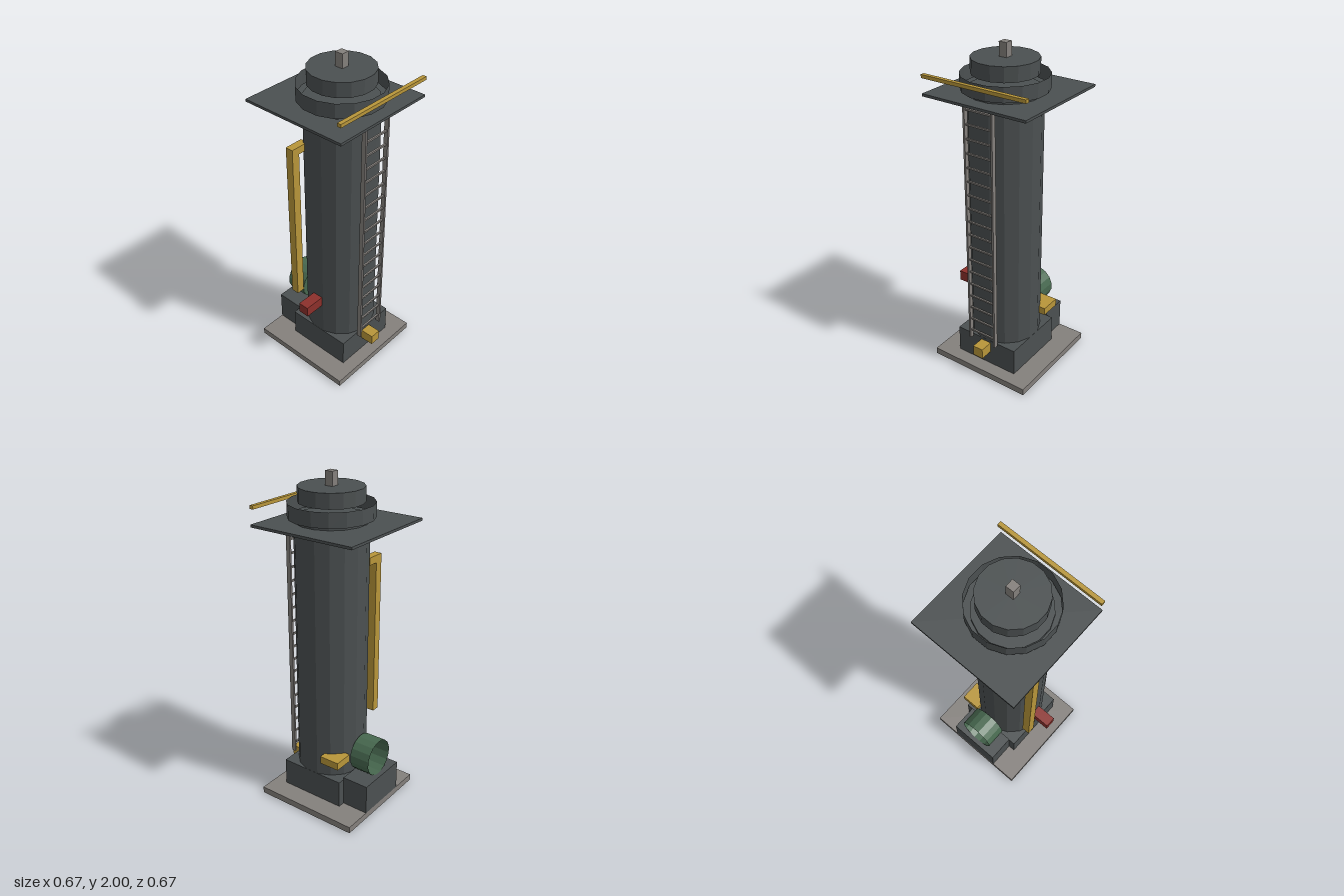
import * as THREE from 'three';

const mat = (name, color, side = THREE.FrontSide) => {
  const m = new THREE.MeshStandardMaterial({ color, side });
  m.name = name;
  return m;
};

export function createModel() {
  const group = new THREE.Group();
  const steel = mat('dark steel', 0x4b5051, THREE.DoubleSide);
  const grey = mat('warm grey', 0x84807c);
  const yellow = mat('safety yellow', 0xb8963a);
  const red = mat('valve red', 0x8c302b);
  const green = mat('motor green', 0x47684f, THREE.DoubleSide);
  const axisZ = 0.042; // the tower stands slightly forward of the centre

  const add = (name, geo, material, x, y, z) => {
    const mesh = new THREE.Mesh(geo, material);
    mesh.name = name;
    mesh.position.set(x, y, z);
    group.add(mesh);
    return mesh;
  };
  // box given by its lower and upper corners
  const box = (name, material, [x0, y0, z0], [x1, y1, z1]) =>
    add(name, new THREE.BoxGeometry(x1 - x0, y1 - y0, z1 - z0), material,
      (x0 + x1) / 2, (y0 + y1) / 2, (z0 + z1) / 2);
  // sixteen-sided drum with flats facing the axes
  const prism = (r, h, open = false) => {
    const g = new THREE.CylinderGeometry(r, r, h, 16, 1, open);
    g.rotateY(Math.PI / 16);
    const flat = g.toNonIndexed();
    flat.computeVertexNormals();
    return flat;
  };
  const drum = (name, r, y0, y1, open) =>
    add(name, prism(r, y1 - y0, open), steel, 0, (y0 + y1) / 2, axisZ);

  // foundation
  box('baseSlab', grey, [-0.333, 0, -0.333], [0.333, 0.04, 0.333]);
  box('plinth', steel, [-0.208, 0.04, -0.166], [0.208, 0.21, 0.25]);
  box('motorPlinth', steel, [-0.165, 0.04, -0.333], [0.165, 0.225, -0.166]);

  // tower, open collar and cap
  drum('towerBody', 0.211, 0.205, 1.75, false);
  drum('collar', 0.245, 1.75, 1.835, true);
  drum('topCap', 0.187, 1.835, 1.92, false);
  box('ventStack', grey, [-0.024, 1.92, axisZ - 0.024], [0.024, 2, axisZ + 0.024]);

  // platform and handrail
  box('platform', steel, [-0.333, 1.715, -0.333], [0.333, 1.73, 0.333]);
  box('handrail', yellow, [-0.333, 1.815, 0.309], [0.333, 1.835, 0.333]);

  // ladder
  for (const s of [-1, 1]) {
    const x = s * 0.09;
    box('ladderRail', grey, [x - 0.006, 0.21, 0.264], [x + 0.006, 1.715, 0.291]);
  }
  for (let i = 0; i < 18; i++) {
    const y = 0.265 + i * 0.0833;
    box('ladderRung', grey, [-0.085, y - 0.005, 0.272], [0.085, y + 0.005, 0.283]);
  }

  // side pipe with elbow
  box('sidePipe', yellow, [-0.275, 0.485, -0.107], [-0.225, 1.455, -0.059]);
  box('pipeElbow', yellow, [-0.275, 1.455, -0.107], [-0.16, 1.5, -0.059]);

  // ports
  box('sideNozzle', red, [-0.333, 0.42, 0.008], [-0.19, 0.485, 0.075]);
  box('frontOutlet', yellow, [-0.034, 0.13, 0.25], [0.034, 0.195, 0.333]);
  box('cornerValve', yellow, [0.11, 0.313, -0.17], [0.23, 0.36, -0.042]);

  // motor housing, open to the back
  const motor = add('motorHousing', prism(0.112, 0.13, true), green, 0, 0.335, -0.24);
  motor.rotation.x = Math.PI / 2;
  const plate = new THREE.CircleGeometry(0.112, 16, Math.PI / 16);
  add('motorPlate', plate, green, 0, 0.335, -0.175);

  return group;
}
